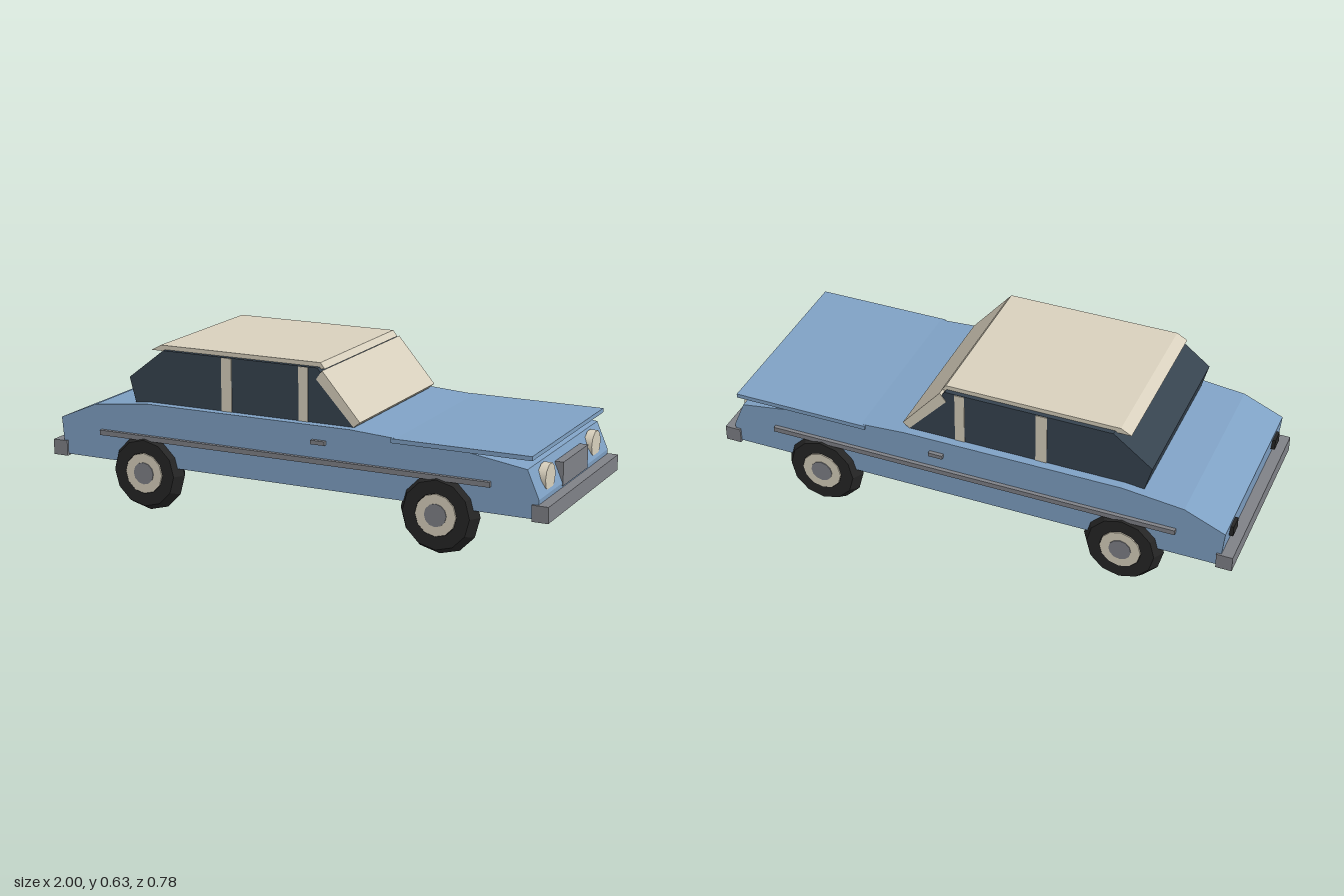
import * as THREE from 'three';

export function createModel() {
  const car = new THREE.Group();
  car.name = 'car';

  const material = (name, color) => {
    const m = new THREE.MeshStandardMaterial({ color });
    m.name = name;
    return m;
  };
  const paint = material('blue paint', 0x7fa1c4);
  const cream = material('cream', 0xd8d0bd);
  const glass = material('dark glass', 0x36434f);
  const metal = material('grey metal', 0x7f8187);
  const rubber = material('black rubber', 0x262626);

  const add = (name, geometry, mat, parent = car) => {
    const mesh = new THREE.Mesh(geometry, mat);
    mesh.name = name;
    parent.add(mesh);
    return mesh;
  };

  // Side profile (x, y) extruded across the width of the car
  const profile = (name, points, halfWidth, mat) => {
    const shape = new THREE.Shape(points.map(([x, y]) => new THREE.Vector2(x, y)));
    const geo = new THREE.ExtrudeGeometry(shape, { depth: halfWidth * 2, bevelEnabled: false });
    geo.translate(0, 0, -halfWidth);
    return add(name, geo, mat);
  };

  // Box given by its limits on each axis
  const box = (name, [x0, x1], [y0, y1], [z0, z1], mat) => {
    const mesh = add(name, new THREE.BoxGeometry(x1 - x0, y1 - y0, z1 - z0), mat);
    mesh.position.set((x0 + x1) / 2, (y0 + y1) / 2, (z0 + z1) / 2);
    return mesh;
  };

  // Bodywork
  profile('body', [
    [-0.95, 0.18], [0.955, 0.18], [0.96, 0.25], [0.916, 0.352], [0.70, 0.385],
    [0.25, 0.413], [-0.58, 0.413], [-0.81, 0.388], [-0.963, 0.322],
  ], 0.362, paint);
  box('hood', [0.41, 0.935], [0.386, 0.402], [-0.37, 0.37], paint);

  // Cabin
  profile('cabinGlass', [
    [-0.65, 0.40], [0.25, 0.40], [0.25, 0.413], [0.105, 0.614], [-0.53, 0.614], [-0.677, 0.50],
  ], 0.328, glass);
  profile('roof', [[-0.59, 0.608], [0.125, 0.608], [0.108, 0.63], [-0.55, 0.63]], 0.31, cream);
  profile('windshield', [[0.10, 0.573], [0.248, 0.413], [0.273, 0.433], [0.124, 0.606]], 0.33, cream);

  // Bumpers and grille
  box('frontBumper', [0.937, 0.998], [0.173, 0.232], [-0.37, 0.37], metal);
  box('rearBumper', [-0.998, -0.938], [0.173, 0.232], [-0.37, 0.37], metal);
  box('grille', [0.93, 0.962], [0.238, 0.325], [-0.13, 0.13], metal);

  for (const side of [-1, 1]) {
    const span = (a, b) => (side > 0 ? [a, b] : [-b, -a]);

    // Side trim, handles and door pillars
    box('sideTrim', [-0.785, 0.785], [0.275, 0.294], span(0.36, 0.377), metal);
    box('doorHandle', [0.10, 0.155], [0.346, 0.361], span(0.36, 0.377), metal);
    box('rearPillar', [-0.285, -0.243], [0.41, 0.612], span(0.322, 0.331), cream);
    box('frontPillar', [0.03, 0.067], [0.41, 0.612], span(0.322, 0.331), cream);

    // Lamps
    const lamp = add('headlight', new THREE.CylinderGeometry(0.05, 0.05, 0.03, 10), cream);
    lamp.rotation.z = -Math.PI / 2;
    lamp.position.set(0.94, 0.3, side * 0.24);
    box('tailLight', [-0.973, -0.94], [0.263, 0.305], span(0.235, 0.292), rubber);

    // Wheels: faceted tyre, rim and hub
    for (const x of [-0.59, 0.59]) {
      const wheel = new THREE.Group();
      wheel.name = 'wheel';
      wheel.position.set(x, 0.152, side * 0.342);
      car.add(wheel);
      const tyre = new THREE.TorusGeometry(0.103, 0.048, 6, 12).toNonIndexed();
      tyre.computeVertexNormals();
      add('tyre', tyre, rubber, wheel);
      for (const [name, r, width, mat] of [['rim', 0.077, 0.088, cream], ['hub', 0.042, 0.094, metal]]) {
        const disc = new THREE.CylinderGeometry(r, r, width, 12);
        disc.rotateX(Math.PI / 2);
        add(name, disc, mat, wheel);
      }
    }
  }
  return car;
}
